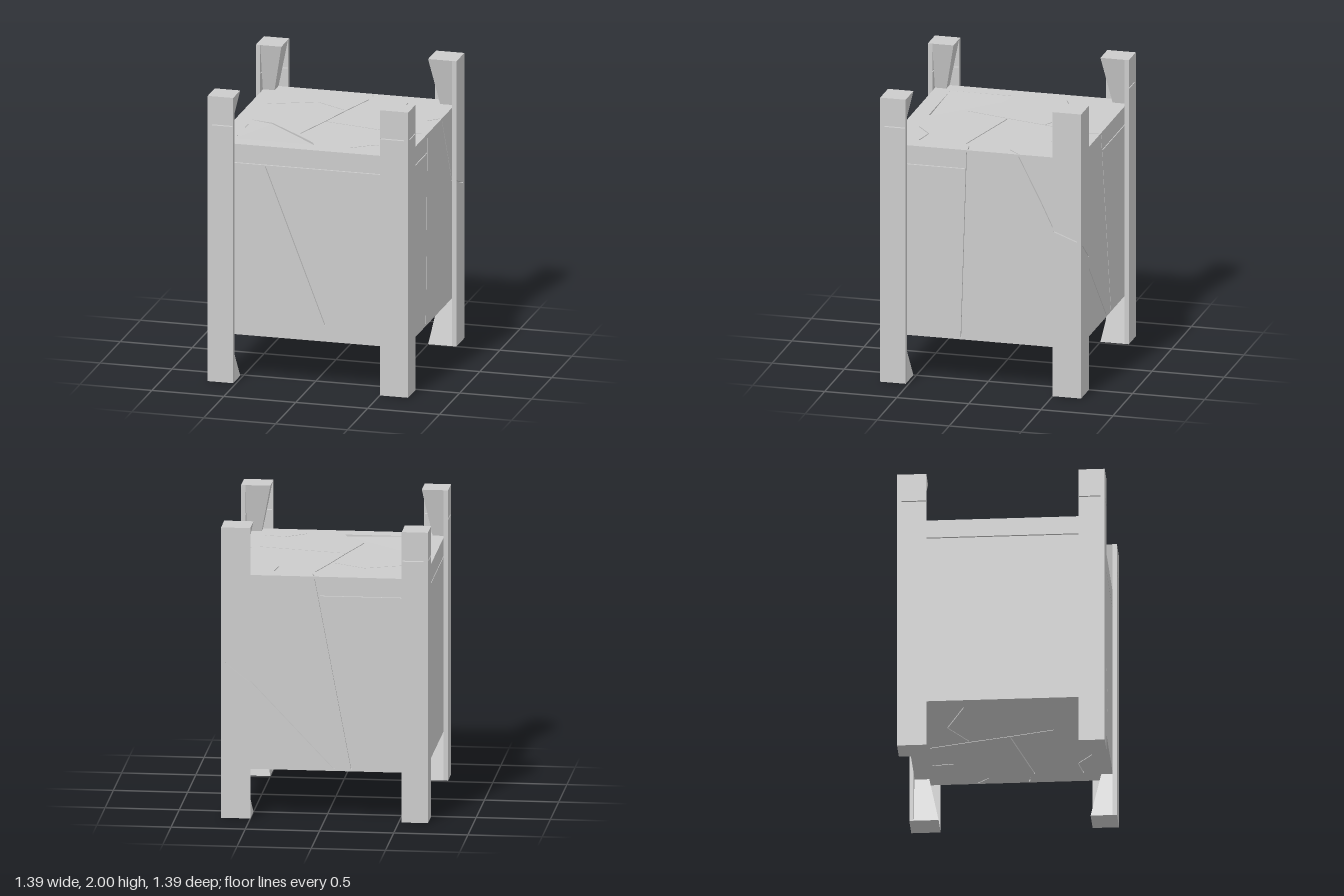
import * as THREE from 'three';

const material = new THREE.MeshStandardMaterial({ color: 0xcccccc, flatShading: true, side: THREE.DoubleSide });
const BODY = 0.665, BOTTOM = 0.335, TOP = 1.67, OUTER = 0.697, GROOVE = 0.015;

function mesh(name, geometry) {
  const m = new THREE.Mesh(geometry, material);
  m.name = name;
  return m;
}

// Thin closed outline following a polyline, used to cut a crack.
function crackOutline(points, half = 0.0035) {
  const p = points.map(([x, y]) => new THREE.Vector2(x, y));
  const left = [], right = [];
  p.forEach((c, i) => {
    const a = p[Math.max(i - 1, 0)], b = p[Math.min(i + 1, p.length - 1)];
    const d = b.clone().sub(a).normalize();
    const n = new THREE.Vector2(-d.y, d.x).multiplyScalar(half);
    left.push(c.clone().add(n));
    right.unshift(c.clone().sub(n));
  });
  return left.concat(right);
}

// Rectangular slab with holes, its outer face at distance "outer" before turning.
function slab(name, [u0, u1, v0, v1], holes, depth, outer, rx, ry) {
  const shape = new THREE.Shape([[u0, v0], [u1, v0], [u1, v1], [u0, v1]].map(([x, y]) => new THREE.Vector2(x, y)));
  holes.forEach((h) => shape.holes.push(new THREE.Path(h)));
  const g = new THREE.ExtrudeGeometry(shape, { depth, bevelEnabled: false });
  g.translate(0, 0, outer - depth).rotateX(rx).rotateY(ry);
  return mesh(name, g);
}

function createBody() {
  const body = new THREE.Group();
  body.name = 'body';
  const inner = 2 * (BODY - GROOVE);
  const core = new THREE.BoxGeometry(inner, TOP - BOTTOM - 2 * GROOVE, inner);
  body.add(mesh('core', core.translate(0, (TOP + BOTTOM) / 2, 0)));

  // Side walls: seams and cracks as [across, height] lines
  const band = [[-0.64, 1.54], [0.64, 1.54]];
  const walls = {
    frontWall: [0, [band, [[-0.305, 1.53], [0.11, 0.45]]]],
    rightWall: [Math.PI / 2, [
      [[-0.105, 1.665], [-0.145, 0.34]],
      [[-0.64, 1.54], [-0.118, 1.54]],
      [[0.25, 1.665], [0.41, 1.35], [0.5, 1.16]]]],
    backWall: [Math.PI, [
      [[-0.07, 1.665], [0.18, 0.34]],
      [[-0.034, 1.54], [0.64, 1.54]],
      [[-0.5, 0.94], [0.07, 0.34]]]],
    leftWall: [-Math.PI / 2, [band]],
  };
  for (const [name, [turn, cracks]] of Object.entries(walls)) {
    const holes = cracks.map((c) => crackOutline(c));
    body.add(slab(name, [-BODY, BODY, BOTTOM, TOP], holes, GROOVE, BODY, 0, turn));
  }

  // Cracks of the lid and the base as [x, z] lines
  const cracks = [
    [[-0.55, -0.26], [-0.235, -0.39], [-0.014, -0.26]],
    [[0.08, -0.53], [0, -0.25], [-0.07, 0.02], [-0.155, 0.32]],
    [[-0.058, 0.02], [0.53, 0.145]],
    [[0.255, 0.545], [0.385, 0.445], [0.53, 0.47]],
    [[0.355, -0.53], [0.34, -0.39]],
    [[0.075, -0.655], [0.093, -0.585]],
    [[0.58, -0.17], [0.655, -0.25]],
    [[0.58, 0.11], [0.655, 0.1]],
  ];
  const lidHoles = cracks.map((c) => crackOutline(c.map(([x, z]) => [x, -z])));
  const baseHoles = cracks.map((c) => crackOutline(c));

  // Broken corner of the lid: [x, z, sink], a fan tilting down from the first point
  const chip = [[-0.55, 0.55, 0], [-0.55, 0.11, 0.002], [-0.4, 0.145, 0.008], [-0.165, 0.36, 0.012],
    [-0.02, 0.5, 0.014], [0, 0.55, 0.014], [-0.42, 0.55, 0]];
  lidHoles.push(chip.map(([x, z]) => new THREE.Vector2(x, -z)));
  const positions = [];
  for (let i = 1; i < chip.length - 1; i++) {
    for (const [x, z, sink] of [chip[0], chip[i + 1], chip[i]]) positions.push(x, TOP - sink, z);
  }
  const fan = new THREE.BufferGeometry();
  fan.setAttribute('position', new THREE.Float32BufferAttribute(positions, 3));
  fan.computeVertexNormals();
  body.add(mesh('sunkenChip', fan));

  const square = [-BODY, BODY, -BODY, BODY];
  body.add(slab('lid', square, lidHoles, GROOVE, TOP, -Math.PI / 2, 0));
  body.add(slab('base', square, baseHoles, GROOVE, -BOTTOM, Math.PI / 2, 0));
  return body;
}

function createPost(sx, sz) {
  const post = new THREE.Group();
  post.name = (sz > 0 ? 'front' : 'back') + (sx > 0 ? 'Left' : 'Right') + 'Post';
  const ix = sx > 0 ? 0.5 : 0.52, iz = sz > 0 ? 0.52 : 0.5;
  const back = 0.667;

  // Inner core, narrowing from both ends towards the body
  const core = new THREE.BoxGeometry(1, 2, 1, 1, 4, 1);
  const pos = core.attributes.position;
  for (let i = 0; i < pos.count; i++) {
    const y = pos.getY(i) + 1;
    const inset = Math.min(y, 2 - y, 0.5) * 0.2;
    const place = (v, s, inner) => s * (v * s > 0 ? back : inner + inset);
    pos.setXYZ(i, place(pos.getX(i), sx, ix), y, place(pos.getZ(i), sz, iz));
  }
  core.computeVertexNormals();
  post.add(mesh('postCore', core));

  // Straight outer plates on the two outward faces
  const range = (s, inner) => (s > 0 ? [inner, OUTER] : [-OUTER, -inner]);
  const faces = [
    ['postPlateZ', range(sx * sz, ix), sz > 0 ? 0 : Math.PI, [[-0.69, 1.085], [-0.506, 0.94]]],
    ['postPlateX', range(-sx * sz, iz), sx * Math.PI / 2, [[0.506, 1.16], [0.69, 1.09]]],
  ];
  for (const [name, [u0, u1], turn, split] of faces) {
    const ring = [[u0 + 0.004, 1.8], [u1 - 0.004, 1.8]];
    const line = sx > 0 && sz < 0 ? split : ring;
    post.add(slab(name, [u0, u1, 0, 2], [crackOutline(line)], OUTER - back, OUTER, 0, turn));
  }
  return post;
}

export function createModel() {
  const model = new THREE.Group();
  model.name = 'crackedCrate';
  model.add(createBody());
  for (const sx of [-1, 1]) for (const sz of [-1, 1]) model.add(createPost(sx, sz));
  return model;
}
